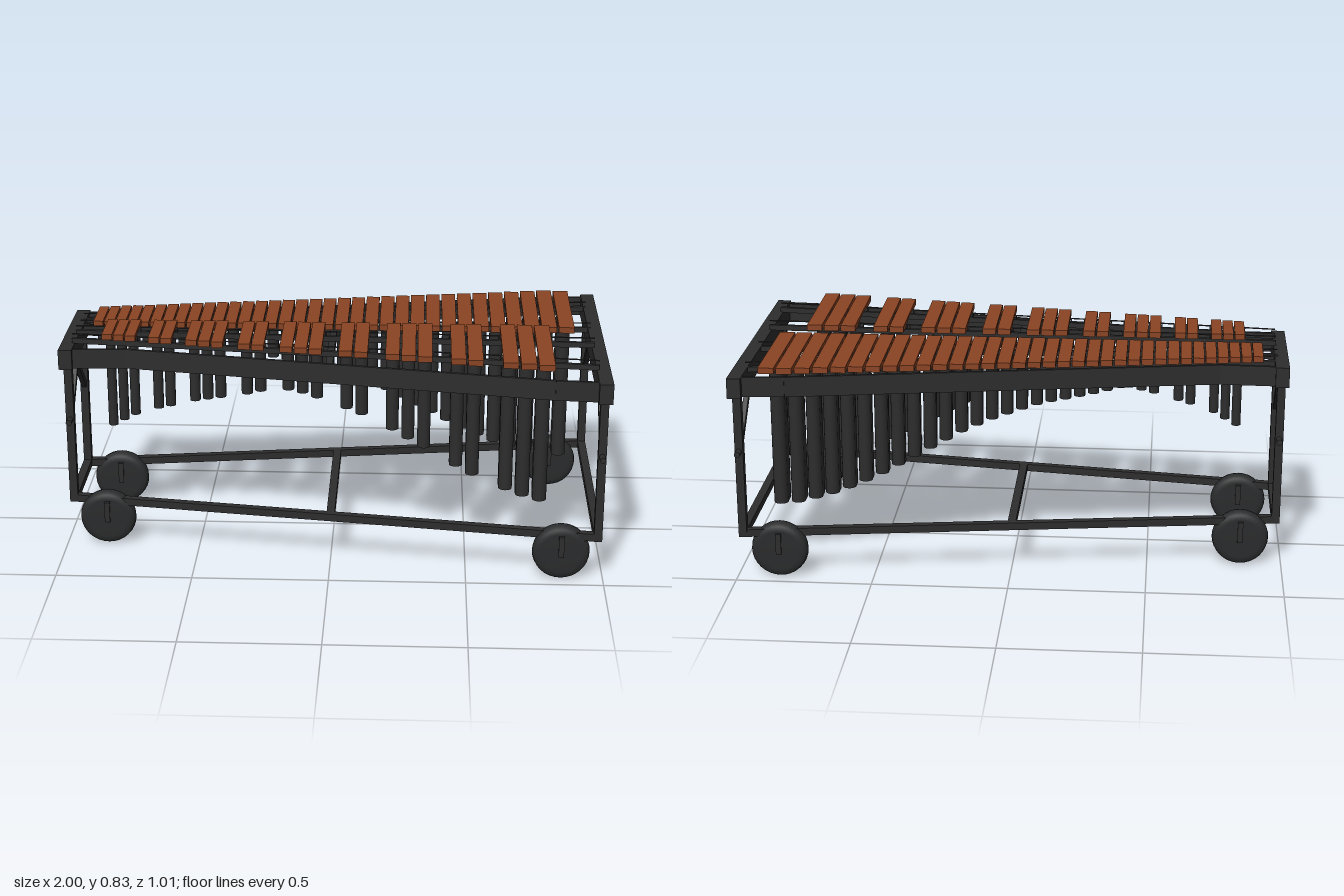
import * as THREE from 'three';

export function createModel() {
  const model = new THREE.Group();
  const mat = (name, color) => {
    const m = new THREE.MeshStandardMaterial({ color });
    m.name = name;
    return m;
  };
  const wood = mat('rosewood', 0x8a4423);
  const black = mat('black metal', 0x2d2d2e);
  const dark = mat('dark rubber', 0x2a2b2c);

  const add = (name, geo, material, x = 0, y = 0, z = 0) => {
    const mesh = new THREE.Mesh(geo, material);
    mesh.name = name;
    mesh.position.set(x, y, z);
    model.add(mesh);
    return mesh;
  };
  const box = (name, w, h, d, x, y, z) => add(name, new THREE.BoxGeometry(w, h, d), black, x, y, z);
  // Straight bar of width w and height h between two points
  const beam = (name, a, b, w, h) => {
    const p = new THREE.Vector3(...a), q = new THREE.Vector3(...b);
    const m = add(name, new THREE.BoxGeometry(w, h, p.distanceTo(q)), black);
    m.position.copy(p).lerp(q, 0.5);
    m.lookAt(q);
    return m;
  };
  const lerp = THREE.MathUtils.lerp;
  // Read a height from a short list of [x, y] points
  const sample = (pts, x) => {
    for (let i = 1; i < pts.length; i++) {
      const [x0, y0] = pts[i - 1], [x1, y1] = pts[i];
      if (x <= x1) return lerp(y0, y1, Math.max(0, (x - x0) / (x1 - x0)));
    }
    return pts[pts.length - 1][1];
  };

  // Wooden bar with an arched underside, running from z0 to z1
  const toneBar = (name, x, w, z0, z1, y) => {
    const len = z1 - z0, t = 0.022;
    const s = new THREE.Shape();
    s.moveTo(0, 0);
    s.lineTo(len * 0.22, 0);
    s.quadraticCurveTo(len * 0.5, 0.024, len * 0.78, 0);
    s.lineTo(len, 0);
    s.lineTo(len, t);
    s.lineTo(0, t);
    const g = new THREE.ExtrudeGeometry(s, { depth: w, bevelEnabled: false, curveSegments: 8 });
    g.translate(0, 0, -w / 2);
    g.rotateY(-Math.PI / 2);
    add(name, g, wood, x, y, z0);
  };

  // Oblong resonator tube: a cylinder pulled apart along z
  const resonator = (name, x, z, dx, dz, bottom) => {
    const top = 0.765, r = dx / 2;
    const g = new THREE.CylinderGeometry(r, r, top - bottom, 18);
    const p = g.attributes.position;
    for (let i = 0; i < p.count; i++) {
      const v = p.getZ(i);
      if (Math.abs(v) > 1e-5) p.setZ(i, v + Math.sign(v) * Math.max(0, (dz - dx) / 2));
    }
    add(name, g, black, x, (top + bottom) / 2, z);
  };

  const edge = (i) => -0.908 + 0.0409 * i + 0.00036 * i * i;
  const pitch = (i) => 0.0409 + 0.00072 * i;
  const lowSide = [[-0.2, 0.625], [-0.1, 0.607], [0, 0.575], [0.1, 0.54], [0.2, 0.495], [0.3, 0.44],
    [0.4, 0.385], [0.5, 0.33], [0.6, 0.285], [0.7, 0.25], [0.8, 0.226], [0.9, 0.22]];
  const naturalBottom = [[-0.9, 0.7], [-0.55, 0.69], [-0.4, 0.668], [-0.3, 0.645], ...lowSide];
  const accidentalBottom = [[-0.83, 0.44], [-0.74, 0.49], [-0.65, 0.52], [-0.5, 0.56], [-0.32, 0.593], ...lowSide];
  const tubeDepth = (x) => sample([[-0.9, 0.034], [0, 0.055], [0.85, 0.102]], x);

  // Natural bars, their tubes and posts
  for (let i = 0; i < 34; i++) {
    const x = edge(i + 0.5), w = pitch(i + 0.5);
    const outer = Math.min(0.46, 0.19 + 0.159 * (x + 0.9));
    toneBar('naturalBar', x, w * 0.88, -outer, -0.018, 0.786);
    resonator('naturalResonator', x, -lerp(0.1, 0.24, (x + 0.89) / 1.77), w * 0.82, tubeDepth(x), sample(naturalBottom, x));
    const e = edge(i), t = (e + 0.95) / 1.9;
    box('naturalPost', 0.005, 0.02, 0.008, e, 0.788, -lerp(0.06, 0.11, t));
    box('naturalPost', 0.005, 0.02, 0.008, e, 0.788, -lerp(0.14, 0.36, t));
  }

  // Accidental bars in groups of two and three, with tubes and posts
  for (let i = 2; i <= 32; i++) {
    if (![0, 2, 3, 4, 6].includes(i % 7)) continue;
    const x = edge(i), w = pitch(i);
    const outer = Math.min(0.45, 0.185 + 0.165 * (x + 0.83));
    toneBar('accidentalBar', x, w * 0.88, 0.014, outer, 0.806);
    resonator('accidentalResonator', x, lerp(0.103, 0.235, (x + 0.83) / 1.6), w * 0.82, tubeDepth(x), sample(accidentalBottom, x));
    for (const s of [-0.5, 0.5]) {
      const e = edge(i + s), t = (e + 0.95) / 1.9;
      box('accidentalPost', 0.005, 0.024, 0.008, e, 0.802, lerp(0.05, 0.11, t));
      box('accidentalPost', 0.005, 0.024, 0.008, e, 0.802, lerp(0.14, 0.35, t));
    }
  }

  // Rails and cords carrying the bars
  for (const [a, b, y] of [[-0.06, -0.11, 0.77], [-0.14, -0.36, 0.77], [0.05, 0.11, 0.787], [0.14, 0.35, 0.787]]) {
    beam('barRail', [-0.96, y, a], [0.96, y, b], 0.014, 0.02);
    beam('barCord', [-0.96, y + 0.026, a], [0.96, y + 0.026, b], 0.004, 0.004);
  }

  // End beams
  box('narrowEndBeam', 0.05, 0.075, 0.465, -0.975, 0.742, 0);
  box('wideEndBeam', 0.05, 0.075, 1.01, 0.975, 0.742, 0);
  box('upperCrossBar', 0.025, 0.03, 0.64, -0.005, 0.75, 0);

  // Wheel profile with rounded tread
  const wheel = new THREE.LatheGeometry(
    [[0, -0.028], [0.075, -0.028], [0.093, -0.025], [0.102, -0.016], [0.105, 0], [0.102, 0.016], [0.093, 0.025], [0.075, 0.028], [0, 0.028]]
      .map(([x, y]) => new THREE.Vector2(x, y)), 32);
  wheel.rotateX(Math.PI / 2);

  for (const s of [-1, 1]) {
    // Side panels that straighten near both ends
    const path = [[-0.96, 0.212], [-0.75, 0.205], [0.8, 0.466], [0.96, 0.478]];
    for (let i = 1; i < path.length; i++) {
      const [x0, z0] = path[i - 1], [x1, z1] = path[i];
      beam('sidePanel', [x0, 0.742, s * z0], [x1, 0.742, s * z1], 0.012, 0.074);
    }
    beam('lowerSideRail', [-0.975, 0.171, s * 0.171], [0.975, 0.171, s * 0.45], 0.028, 0.028);

    for (const [x, z] of [[-0.975, 0.171], [0.975, 0.45]]) {
      // Leg, diagonal brace and clamp knob
      box('leg', 0.03, 0.55, 0.03, x, 0.432, s * z);
      beam('diagonalBrace', [x, 0.5, s * (z - 0.01)], [x, 0.69, s * (z - 0.212)], 0.018, 0.022);
      const knob = add('clampKnob', new THREE.CylinderGeometry(0.011, 0.011, 0.036, 14), black, x, 0.49, s * (z + 0.032));
      knob.rotation.x = Math.PI / 2;
    }

    for (const [x, z] of [[-0.845, 0.19], [0.845, 0.43]]) {
      // Caster wheel, fork and axle
      add('wheel', wheel, dark, x, 0.105, s * z);
      for (const k of [-0.036, 0.036]) box('casterFork', 0.02, 0.08, 0.006, x, 0.133, s * z + k);
      box('casterPlate', 0.02, 0.006, 0.078, x, 0.17, s * z);
      const axle = add('axle', new THREE.CylinderGeometry(0.008, 0.008, 0.078, 12), black, x, 0.105, s * z);
      axle.rotation.x = Math.PI / 2;
    }
  }

  // Lower cross bars
  for (const [x, len] of [[-0.975, 0.37], [0, 0.62], [0.975, 0.93]]) {
    box('lowerCrossBar', 0.03, 0.028, len, x, 0.171, 0);
  }
  return model;
}
